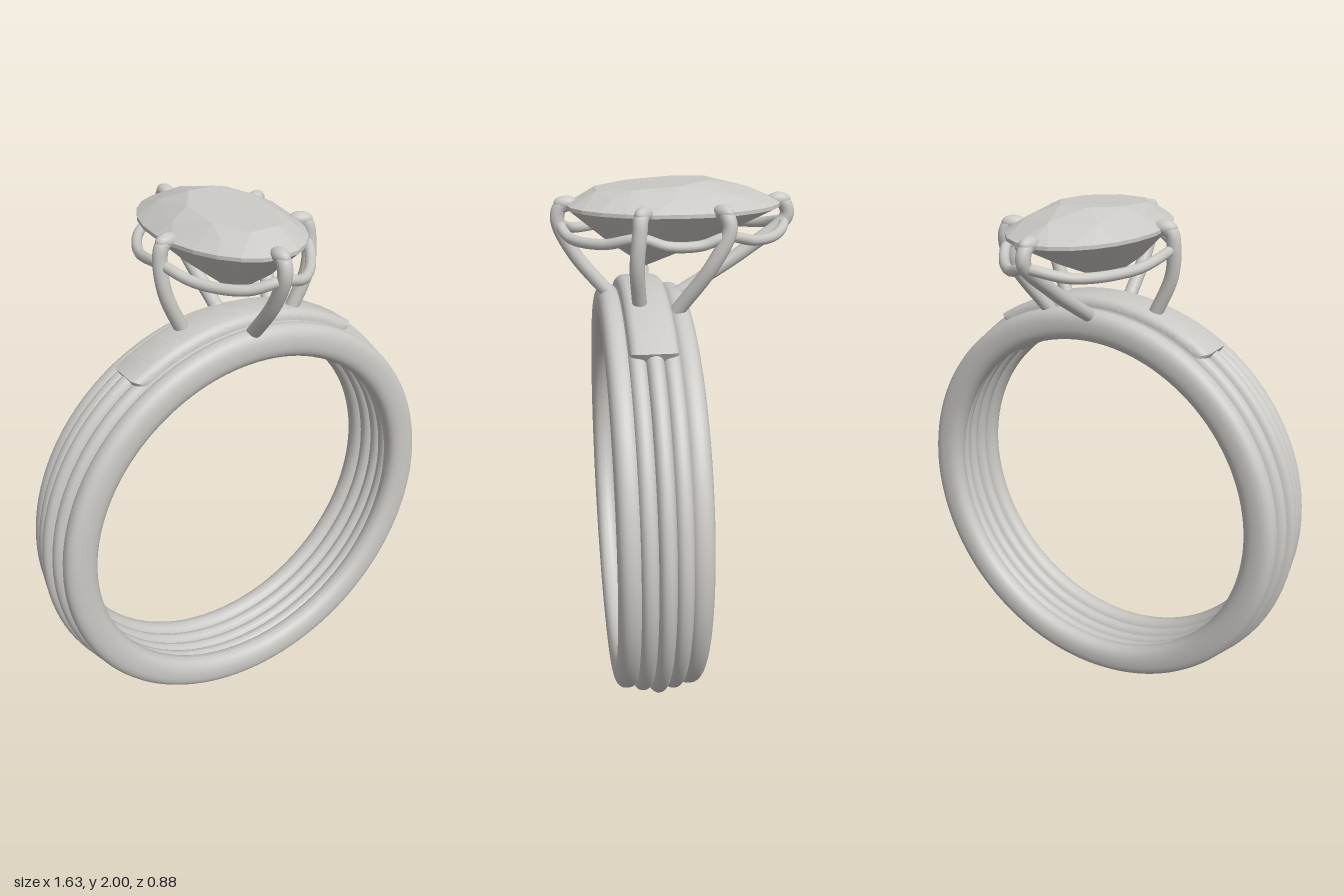
import * as THREE from 'three';
import { toCreasedNormals } from 'three/addons/utils/BufferGeometryUtils.js';
import { ConvexGeometry } from 'three/addons/geometries/ConvexGeometry.js';

const V = (x, y, z) => new THREE.Vector3(x, y, z);
const CENTRE_Y = 0.815, BAND_Z = 0.115;

// Closed hoop around z with a slightly squared oval section
function hoop(rIn, rOut, halfZ) {
  const profile = [];
  const sq = (v) => Math.sign(v) * Math.pow(Math.abs(v), 0.85);
  for (let i = 0; i <= 28; i++) {
    const a = Math.PI + (i / 28) * Math.PI * 2;
    profile.push(new THREE.Vector2(
      (rIn + rOut) / 2 + sq(Math.cos(a)) * (rOut - rIn) / 2,
      sq(Math.sin(a)) * halfZ));
  }
  return new THREE.LatheGeometry(profile, 120).rotateX(Math.PI / 2);
}

export function createModel() {
  const root = new THREE.Group();
  root.name = 'ring';
  const metal = new THREE.MeshStandardMaterial({ color: 0xcac8c4 });
  metal.name = 'pale grey';

  const add = (parent, name, geometry) => {
    const m = new THREE.Mesh(geometry, metal);
    m.name = name;
    parent.add(m);
    return m;
  };
  const group = (name) => {
    const g = new THREE.Group();
    g.name = name;
    root.add(g);
    return g;
  };

  // Band: five hoops side by side, the middle one proudest
  const band = group('band');
  band.position.set(0, CENTRE_Y, BAND_Z);
  add(band, 'middleRib', hoop(0.685, 0.815, 0.034));
  for (const s of [-1, 1]) {
    add(band, 'innerRib', hoop(0.68, 0.802, 0.035)).position.z = s * 0.058;
    add(band, 'edgeRib', hoop(0.665, 0.788, 0.045)).position.z = s * 0.118;
  }

  // Smooth bridge filling the grooves at the top of the band
  const bevel = 0.035, arc = 0.55;
  const sector = new THREE.Shape();
  sector.absarc(0, 0, 0.787, Math.PI / 2 - arc, Math.PI / 2 + arc, false);
  sector.absarc(0, 0, 0.692, Math.PI / 2 + arc, Math.PI / 2 - arc, true);
  const bridge = new THREE.ExtrudeGeometry(sector, {
    depth: 0.1, curveSegments: 32, bevelEnabled: true,
    bevelSize: bevel, bevelThickness: bevel, bevelSegments: 6,
  });
  bridge.translate(0, 0, -0.05);
  add(band, 'bridge', toCreasedNormals(bridge, 0.7));

  // Prongs: shoulder x, z and base x, z
  const setting = group('setting');
  const prongs = [
    [0, -0.42, 0, 0.0],
    [0.27, -0.16, 0.2, 0.01],
    [0.273, 0.145, 0.2, 0.14],
    [-0.285, 0.08, -0.2, 0.09],
    [-0.015, 0.412, -0.015, 0.22],
  ];
  for (const [x, z, bx, bz] of prongs) {
    const out = V(x, 0, z).normalize();
    const base = V(bx, 1.57, bz), shoulder = V(x, 1.86, z);
    const mid = base.clone().lerp(shoulder, 0.6).addScaledVector(out, 0.025);
    const crook = V(x, 1.905, z).addScaledVector(out, -0.012);
    const tip = V(x, 1.918, z).addScaledVector(out, -0.045);
    const path = new THREE.CatmullRomCurve3([base, mid, shoulder, crook, tip]);
    const prong = new THREE.Group();
    prong.name = 'prong';
    setting.add(prong);
    add(prong, 'stem', new THREE.TubeGeometry(path, 40, 0.026, 14));
    const claw = add(prong, 'claw', new THREE.SphereGeometry(0.028, 18, 12));
    claw.position.copy(tip).addScaledVector(out, 0.012);
    claw.scale.set(1, 0.95, 1.6);
    claw.rotation.y = Math.atan2(out.x, out.z);
  }

  // Wavy wire linking the prongs, dipping between them
  const wire = [];
  prongs.forEach(([x, z], i) => {
    const [nx, nz] = prongs[(i + 1) % prongs.length];
    // prongs 2-4 run right, left, front: reorder by angle below
    wire.push(V(x * 0.97, 1.84, z * 0.97));
  });
  wire.sort((a, b) => Math.atan2(a.z, a.x) - Math.atan2(b.z, b.x));
  const loop = [];
  wire.forEach((p, i) => {
    const q = wire[(i + 1) % wire.length];
    const a = Math.atan2(p.z / 0.41, p.x / 0.28);
    let b = Math.atan2(q.z / 0.41, q.x / 0.28);
    if (b < a) b += Math.PI * 2;
    loop.push(p);
    for (const t of [0.3, 0.7]) {
      const c = a + (b - a) * t;
      loop.push(V(Math.cos(c) * 0.268, 1.812, Math.sin(c) * 0.39));
    }
  });
  const rail = new THREE.CatmullRomCurve3(loop, true);
  add(setting, 'galleryWire', new THREE.TubeGeometry(rail, 140, 0.019, 12, true));

  // Faceted oval stone: tilted table, crown, girdle, pavilion and culet
  const pts = [V(0, 1.69, 0.1)];
  const oval = (n, rx, rz, cz, y, shift = 0) => {
    for (let i = 0; i < n; i++) {
      const a = ((i + shift) / n) * Math.PI * 2;
      const z = cz + Math.sin(a) * rz;
      pts.push(V(Math.cos(a) * rx, typeof y === 'function' ? y(z) : y, z));
    }
  };
  oval(8, 0.14, 0.215, 0.075, (z) => 1.99 - 0.07 * z, 0.5);
  oval(8, 0.2, 0.295, 0.02, (z) => 1.958 - 0.03 * z);
  oval(24, 0.255, 0.385, -0.005, 1.915);
  oval(24, 0.255, 0.385, -0.005, 1.902);
  oval(8, 0.14, 0.2, 0.05, 1.79, 0.5);
  add(root, 'stone', new ConvexGeometry(pts));

  return root;
}
